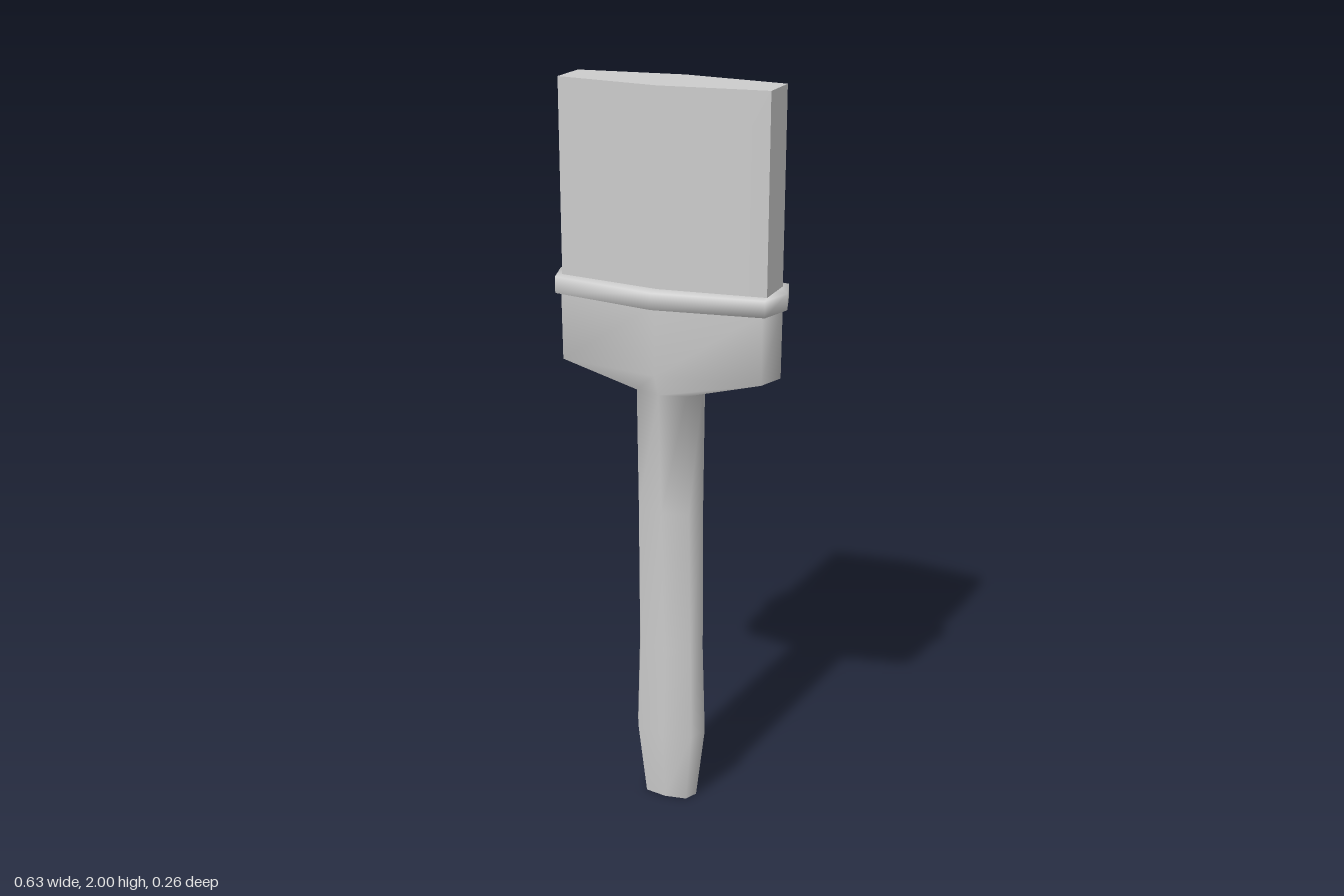
import * as THREE from 'three';
import { toCreasedNormals } from 'three/addons/utils/BufferGeometryUtils.js';

const material = new THREE.MeshStandardMaterial({ color: 0xcccccc });

// Eight-sided section: side point, corner and centre ridge, mirrored in x and z
function section(y, side, cornerX, cornerZ, ridge) {
  return [
    [side, 0], [cornerX, cornerZ], [0, ridge], [-cornerX, cornerZ],
    [-side, 0], [-cornerX, -cornerZ], [0, -ridge], [cornerX, -cornerZ],
  ].map(([x, z]) => new THREE.Vector3(x, y, z));
}

// Skin a stack of sections, closing the ends with flat caps
function loft(sections, capBottom, capTop) {
  const points = sections.flat();
  const n = sections[0].length;
  const index = [];
  for (let s = 0; s < sections.length - 1; s++) {
    for (let i = 0; i < n; i++) {
      const j = (i + 1) % n;
      const a = s * n + i, b = s * n + j;
      index.push(a, a + n, b, a + n, b + n, b);
    }
  }
  const cap = (ring, up) => {
    const start = points.length;
    points.push(...ring);
    for (let i = 1; i < n - 1; i++) {
      if (up) index.push(start, start + i + 1, start + i);
      else index.push(start, start + i, start + i + 1);
    }
  };
  if (capBottom) cap(sections[0], false);
  if (capTop) cap(sections[sections.length - 1], true);
  const geometry = new THREE.BufferGeometry().setFromPoints(points);
  geometry.setIndex(index);
  geometry.computeVertexNormals();
  return geometry;
}

function addPart(group, name, geometry) {
  const mesh = new THREE.Mesh(geometry, material);
  mesh.name = name;
  group.add(mesh);
}

export function createModel() {
  const group = new THREE.Group();
  group.name = 'paintbrush';

  // Tapered grip flaring into the wide head
  addPart(group, 'handle', loft([
    section(0, 0.077, 0.06, 0.035, 0.045),
    section(0.21, 0.102, 0.08, 0.046, 0.061),
    section(0.47, 0.094, 0.074, 0.04, 0.052),
    section(0.88, 0.091, 0.072, 0.05, 0.066),
    section(1.215, 0.088, 0.07, 0.062, 0.083),
    section(1.275, 0.3, 0.275, 0.072, 0.108),
    section(1.46, 0.3, 0.275, 0.075, 0.11),
  ], true, false));

  // Raised lip around the mouth of the head
  addPart(group, 'rim', loft([
    section(1.455, 0.29, 0.265, 0.07, 0.1),
    section(1.455, 0.313, 0.286, 0.087, 0.132),
    section(1.498, 0.313, 0.286, 0.087, 0.132),
    section(1.498, 0.27, 0.27, 0.055, 0.085),
  ], false, true));

  // Solid block of bristles
  const bristles = loft([
    section(1.49, 0.28, 0.28, 0.057, 0.09),
    section(2, 0.28, 0.28, 0.057, 0.09),
  ], true, true);
  addPart(group, 'bristles', toCreasedNormals(bristles, Math.PI / 6));

  return group;
}
